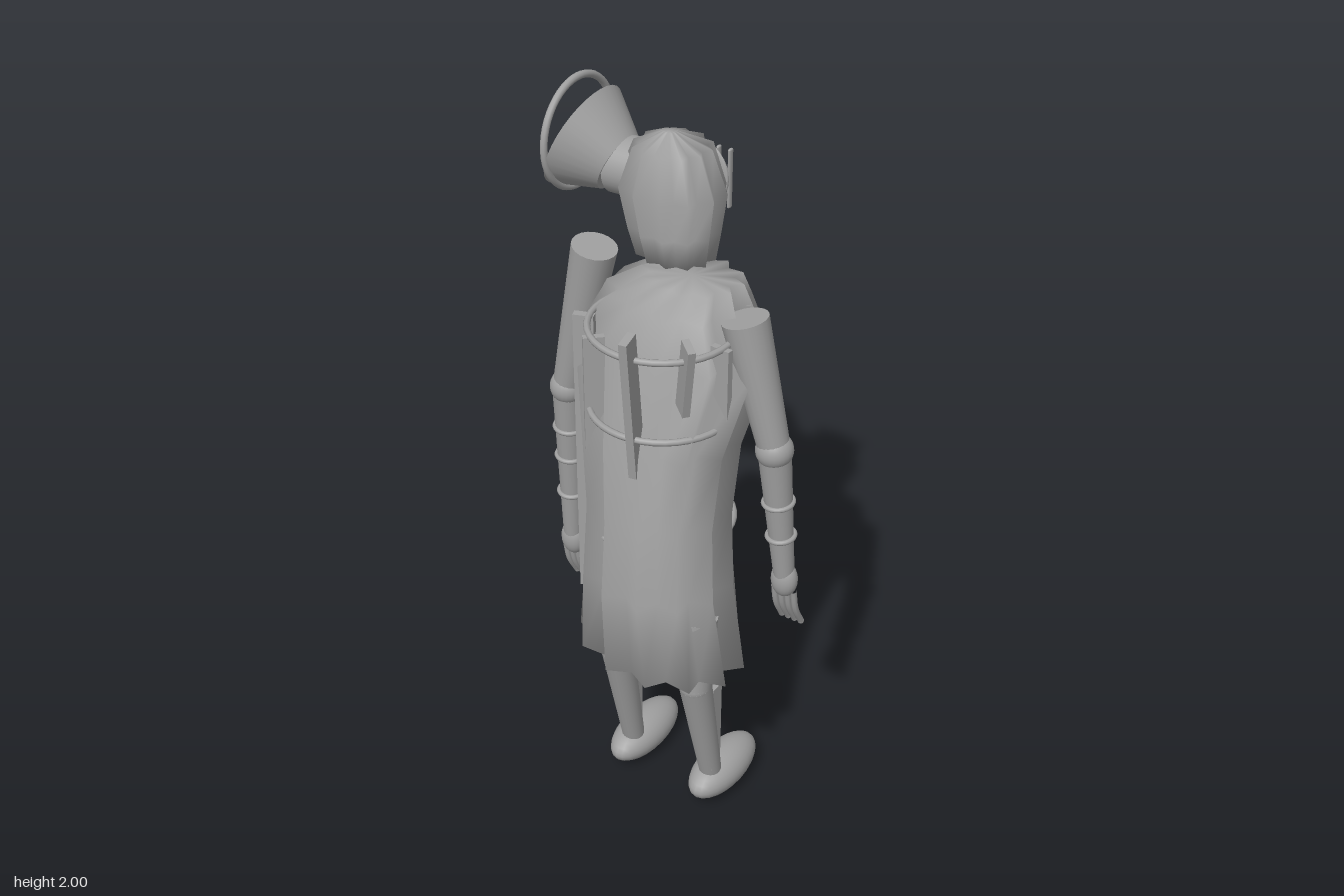
import * as THREE from 'three';

const grey = new THREE.MeshStandardMaterial({ color: 0xa0a0a0 });
grey.name = 'plain grey';
const V = (x, y, z) => new THREE.Vector3(x, y, z);

function add(parent, name, geometry, x = 0, y = 0, z = 0) {
  const mesh = new THREE.Mesh(geometry, grey);
  mesh.name = name;
  mesh.position.set(x, y, z);
  parent.add(mesh);
  return mesh;
}

// Tapered round rod from a (radius ra) to b (radius rb)
function rod(parent, name, a, b, ra, rb = ra, sides = 20) {
  const dir = b.clone().sub(a);
  const m = add(parent, name, new THREE.CylinderGeometry(rb, ra, dir.length(), sides));
  m.position.copy(a).lerp(b, 0.5);
  m.quaternion.setFromUnitVectors(V(0, 1, 0), dir.normalize());
}

function ball(parent, name, p, rx, ry = rx, rz = rx) {
  add(parent, name, new THREE.SphereGeometry(1, 24, 16), p.x, p.y, p.z).scale.set(rx, ry, rz);
}

// Twelve-pleat loft, smooth over both ends: rows are [y, xMin, xMax, zMin, zMax], low to high
function pleated(rows, valley) {
  const n = 24, step = (Math.PI * 2) / n, pos = [], idx = [];
  rows.forEach(([y, x0, x1, z0, z1]) => {
    for (let j = 0; j < n; j++) {
      const t = (j + 1) * step, r = (j % 2 ? valley : 1) / (2 * Math.cos(step));
      pos.push((x0 + x1) / 2 + (x1 - x0) * r * Math.cos(t), y,
        (z0 + z1) / 2 + (z1 - z0) * r * Math.sin(t));
    }
  });
  const last = (rows.length - 1) * n, low = rows.length * n;
  [rows[0], rows[rows.length - 1]].forEach(([y, x0, x1, z0, z1]) => pos.push((x0 + x1) / 2, y, (z0 + z1) / 2));
  for (let j = 0; j < n; j++) {
    const k = (j + 1) % n;
    for (let s = 0; s < last; s += n) idx.push(s + j, s + n + j, s + k, s + k, s + n + j, s + n + k);
    idx.push(low, j, k, low + 1, last + k, last + j);
  }
  const g = new THREE.BufferGeometry();
  g.setAttribute('position', new THREE.Float32BufferAttribute(pos, 3));
  g.setIndex(idx);
  g.computeVertexNormals();
  return g;
}

// Arm with elbow, wrist bands, hand and four bent fingers
function buildArm(parent, name, shoulder, elbow, hand, bandHeights) {
  const arm = new THREE.Group();
  arm.name = name;
  parent.add(arm);
  rod(arm, 'upperArm', elbow, shoulder, 0.042, 0.061);
  ball(arm, 'elbow', elbow, 0.05);
  rod(arm, 'forearm', hand, elbow, 0.028, 0.044);
  const dir = hand.clone().sub(elbow);
  bandHeights.forEach((y) => {
    const t = (y - elbow.y) / dir.y;
    const band = add(arm, 'armBand', new THREE.TorusGeometry(0.043 - 0.01 * t, 0.007, 8, 24));
    band.position.copy(elbow).addScaledVector(dir, t);
    band.quaternion.setFromUnitVectors(V(0, 0, 1), dir.clone().normalize());
  });
  ball(arm, 'hand', hand, 0.038, 0.055, 0.032);
  for (let i = 0; i < 4; i++) {
    const x = hand.x + (i - 1.5) * 0.02;
    const path = new THREE.CatmullRomCurve3([
      V(x, hand.y - 0.03, hand.z), V(x, hand.y - 0.1, hand.z - 0.015), V(x, hand.y - 0.165, hand.z - 0.05)]);
    add(arm, 'finger', new THREE.TubeGeometry(path, 8, 0.009, 8));
    ball(arm, 'fingerTip', path.getPoint(1), 0.009);
  }
}

function buildLeg(parent, name, hipX, footX) {
  const leg = new THREE.Group();
  leg.name = name;
  parent.add(leg);
  const knee = V(hipX, 0.49, 0.16), ankle = V((hipX + footX * 2) / 3, 0.1, 0.07);
  rod(leg, 'thigh', knee, V(hipX, 0.72, 0.15), 0.046, 0.054);
  ball(leg, 'knee', knee, 0.046);
  rod(leg, 'shin', ankle, knee, 0.032, 0.046);
  add(leg, 'calfPlate', new THREE.BoxGeometry(0.05, 0.3, 0.042), ankle.x, 0.28, 0.08);
  ball(leg, 'foot', V(footX, 0.064, 0.003), 0.068, 0.06, 0.147);
}

export function createModel() {
  const model = new THREE.Group();
  model.name = 'hornHeadedFigure';

  // Long leaning pleated coat
  add(model, 'coat', pleated([
    [0.55, -0.142, 0.336, -0.036, 0.308],
    [0.8, -0.125, 0.285, -0.06, 0.308],
    [1.0, -0.135, 0.255, -0.085, 0.265],
    [1.2, -0.18, 0.255, -0.12, 0.225],
    [1.43, -0.265, 0.295, -0.215, 0.155],
    [1.54, -0.17, 0.225, -0.2, 0.11],
    [1.595, -0.08, 0.19, -0.175, 0.05]], 0.79));

  // Pleated head
  const head = new THREE.Group();
  head.name = 'head';
  model.add(head);
  add(head, 'skull', pleated([
    [1.61, -0.135, 0.078, -0.2, -0.025],
    [1.68, -0.165, 0.083, -0.225, -0.02],
    [1.78, -0.2, 0.088, -0.255, -0.02],
    [1.89, -0.155, 0.045, -0.235, -0.04],
    [1.932, -0.075, -0.035, -0.14, -0.105]], 0.82));

  // Horn on the side of the head, with a free ring round its mouth
  const mouth = V(-0.342, 1.838, -0.153), throat = V(-0.231, 1.79, -0.153);
  rod(head, 'hornNeck', V(-0.08, 1.79, -0.153), throat, 0.074, 0.078, 32);
  rod(head, 'hornBell', throat, mouth, 0.082, 0.15, 32);
  add(head, 'hornRing', new THREE.TorusGeometry(0.146, 0.01, 10, 48), -0.356, 1.845, -0.153)
    .rotation.y = Math.PI / 2;

  // Grille on the back of the head
  ball(head, 'grillePlate', V(-0.06, 1.77, -0.258), 0.095, 0.095, 0.011);
  for (let i = 0; i < 6; i++) {
    add(head, 'grilleBar', new THREE.CapsuleGeometry(0.005, 0.155, 4, 10), -0.149 + i * 0.035, 1.765, -0.277)
      .scale.z = 2;
  }

  // Hoops holding slats around the body
  const frame = new THREE.Group();
  frame.name = 'hoopFrame';
  frame.position.set(0.04, 0, 0.045);
  model.add(frame);
  [1.5, 1.27, 0.92].forEach((y) => {
    add(frame, 'hoop', new THREE.TorusGeometry(0.19, 0.009, 8, 40), 0, y, 0).rotation.x = Math.PI / 2;
  });
  // Slats: angle from left towards front, distance out, bottom, top, thickness, inward lean
  [[5, 0.185, 1.3, 1.5, 0.018, 0], [38, 0.18, 1.34, 1.55, 0.02, 0.2],
    [80, 0.185, 1.15, 1.57, 0.022, 0.12], [137, 0.175, 0.8, 1.48, 0.018, 0],
    [160, 0.205, 0.64, 1.5, 0.022, 0], [205, 0.18, 0.64, 1.25, 0.035, 0],
    [232, 0.165, 0.78, 1.3, 0.022, 0], [262, 0.15, 0.75, 1.33, 0.02, 0],
    [285, 0.17, 0.92, 0.985, 0.05, 0], [305, 0.155, 0.8, 1.3, 0.02, 0],
    [322, 0.19, 1.25, 1.55, 0.02, 0]].forEach(([deg, out, low, high, thick, lean]) => {
    const a = THREE.MathUtils.degToRad(deg);
    add(frame, 'slat', new THREE.BoxGeometry(0.055, high - low, thick),
      Math.cos(a) * out, (low + high) / 2, Math.sin(a) * out).rotation.set(0, -a, -lean);
  });

  // Limbs, hanging unevenly
  buildArm(model, 'rightArm', V(-0.207, 1.62, -0.01), V(-0.31, 1.165, -0.015),
    V(-0.335, 0.625, -0.05), [1.03, 0.93, 0.8]);
  buildArm(model, 'leftArm', V(0.245, 1.555, -0.01), V(0.335, 1.195, -0.025),
    V(0.362, 0.77, -0.06), [1.03, 0.92]);
  buildLeg(model, 'rightLeg', -0.033, -0.052);
  buildLeg(model, 'leftLeg', 0.225, 0.222);

  return model;
}
